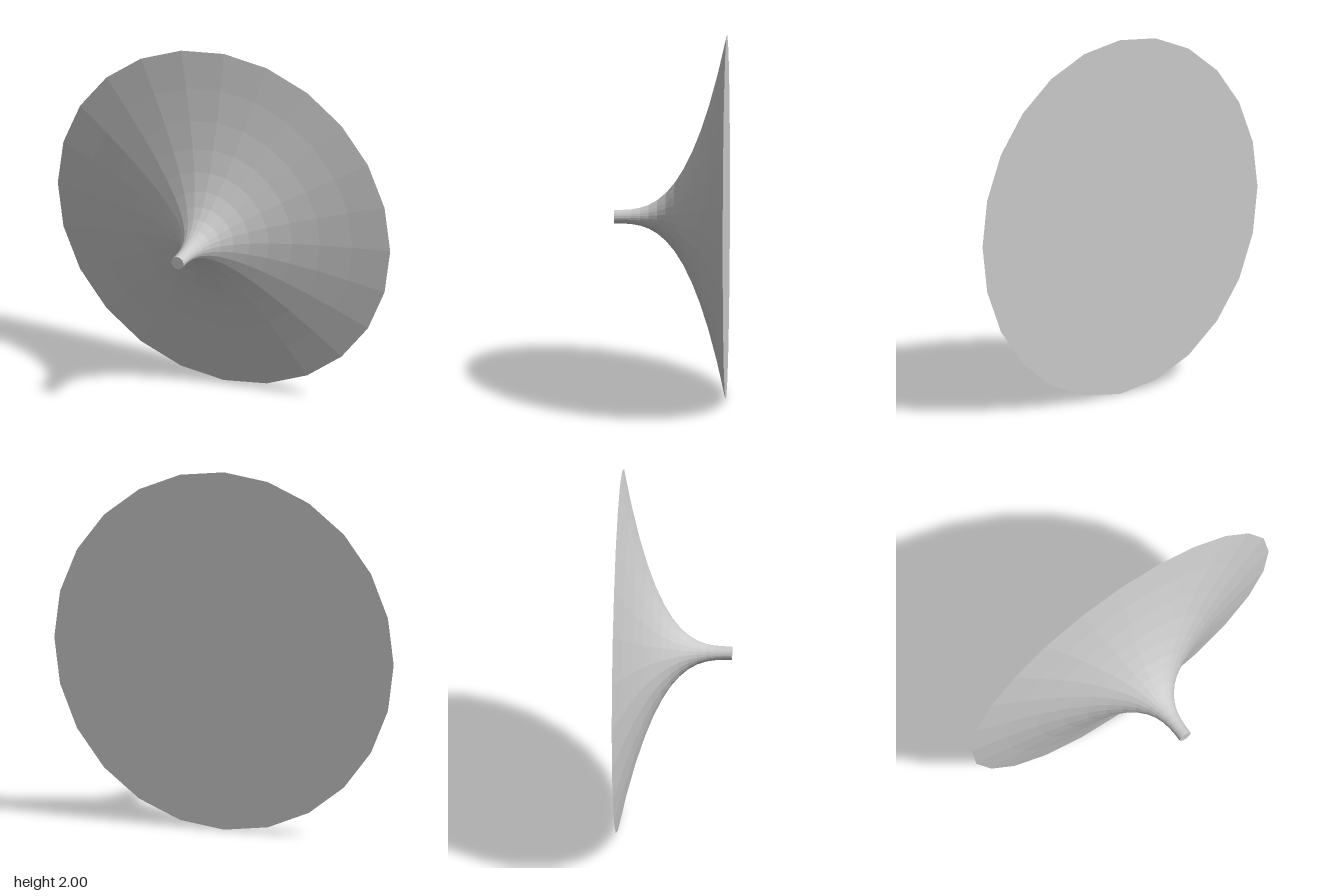
import * as THREE from 'three';

// Flared horn: a solid of revolution whose radius grows with the cube of depth
export function createModel() {
  const group = new THREE.Group();
  const material = new THREE.MeshStandardMaterial({ color: 0xcccccc, flatShading: true });

  const sides = 24, rings = 13;
  const halfDepth = 0.307, tipRadius = 0.037, rimRadius = 1;

  // Profile from the wide back disc to the narrow tip, closed at both ends
  const profile = [new THREE.Vector2(0, -halfDepth)];
  for (let i = rings; i >= 0; i--) {
    const t = i / rings;
    const radius = tipRadius + (rimRadius - tipRadius) * t ** 3;
    profile.push(new THREE.Vector2(radius, halfDepth * (1 - 2 * t)));
  }
  profile.push(new THREE.Vector2(0, halfDepth));

  // Turn the lathe axis so the tip faces the front
  const geometry = new THREE.LatheGeometry(profile, sides);
  geometry.rotateX(Math.PI / 2);

  const horn = new THREE.Mesh(geometry, material);
  horn.name = 'flaredHorn';
  horn.position.y = rimRadius;
  group.add(horn);
  return group;
}
